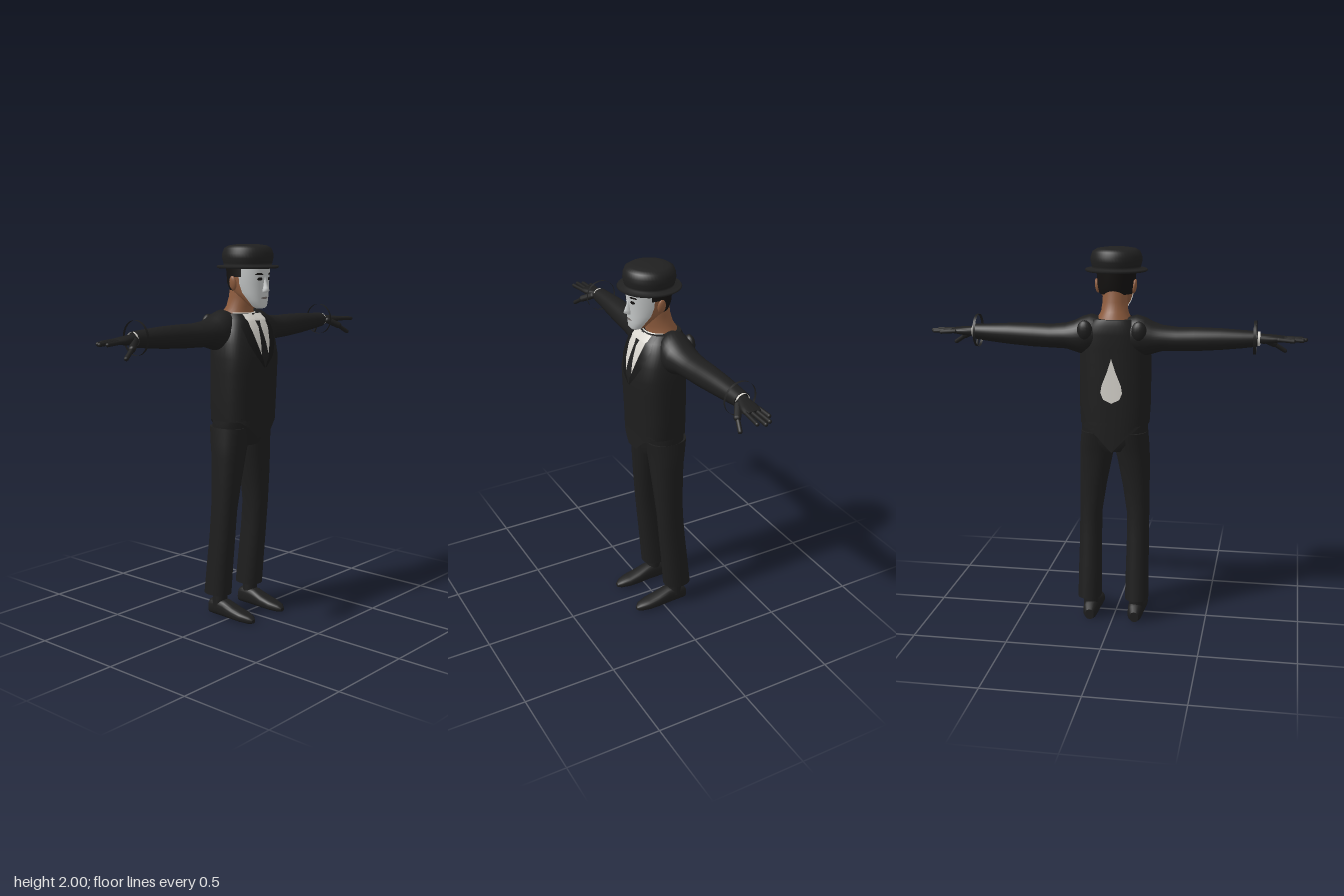
import * as THREE from 'three';

const mat = (name, color, side = THREE.FrontSide) => {
  const m = new THREE.MeshStandardMaterial({ color, side });
  m.name = name;
  return m;
};

// Skin over rings along an axis. Section: [pos, uMin, uMax, vMin, vMax];
// (u, v) is (z, x) for axis y, (y, z) for axis x and (x, y) for axis z.
function loft(axis, sections, { p = 2, seg = 32, arc = null, grow = 0 } = {}) {
  const pos = [], idx = [], cols = arc ? seg + 1 : seg;
  const place = { x: (w, u, v) => [w, u, v], y: (w, u, v) => [v, w, u], z: (w, u, v) => [u, v, w] }[axis];
  const bend = t => Math.sign(t) * Math.abs(t) ** (2 / p);
  const point = ([w, u0, u1, v0, v1], t) => place(w,
    (u0 + u1) / 2 + ((u1 - u0) / 2 + grow) * bend(Math.cos(t)),
    (v0 + v1) / 2 + ((v1 - v0) / 2 + grow) * bend(Math.sin(t)));
  const angle = j => arc ? arc[0] + (arc[1] - arc[0]) * j / seg : 2 * Math.PI * j / seg;
  const addRing = s => { for (let j = 0; j < cols; j++) pos.push(...point(s, angle(j))); };
  sections.forEach(addRing);
  for (let i = 0; i < sections.length - 1; i++) for (let j = 0; j < seg; j++) {
    const k = (j + 1) % cols, a = i * cols + j, b = i * cols + k;
    idx.push(a, b, b + cols, a, b + cols, a + cols);
  }
  // flat end caps with their own corners
  if (!arc) [sections[0], sections.at(-1)].forEach((s, end) => {
    const base = pos.length / 3;
    addRing(s);
    pos.push(...place(s[0], (s[1] + s[2]) / 2, (s[3] + s[4]) / 2));
    for (let j = 0; j < seg; j++) {
      const a = base + j, b = base + (j + 1) % seg;
      idx.push(base + seg, ...(end ? [a, b] : [b, a]));
    }
  });
  return finish(pos, idx);
}

function finish(pos, idx) {
  const g = new THREE.BufferGeometry();
  g.setAttribute('position', new THREE.Float32BufferAttribute(pos, 3));
  g.setIndex(idx);
  g.computeVertexNormals();
  return g;
}

// Thin sheet that follows the front (s = 1) or back (s = -1) of a y loft; rows are [y, x0, x1]
function patch(sections, p, rows, s, off) {
  const pos = [], idx = [], C = 10, R = 4, lerp = THREE.MathUtils.lerp;
  const surf = (x, y) => {
    let i = 0;
    while (i < sections.length - 2 && y > sections[i + 1][0]) i++;
    const a = sections[i], b = sections[i + 1];
    const t = THREE.MathUtils.clamp((y - a[0]) / (b[0] - a[0]), 0, 1);
    const [, z0, z1, , rx] = a.map((v, k) => lerp(v, b[k], t));
    const k = Math.max(0, 1 - Math.min(1, Math.abs(x / rx)) ** p) ** (1 / p);
    return (z0 + z1) / 2 + s * ((z1 - z0) / 2 * k + off);
  };
  const n = (rows.length - 1) * R;
  for (let i = 0; i <= n; i++) {
    const r = Math.min(Math.floor(i / R), rows.length - 2);
    const [y, x0, x1] = rows[r].map((v, k) => lerp(v, rows[r + 1][k], i / R - r));
    for (let j = 0; j <= C; j++) {
      const x = lerp(x0, x1, j / C);
      pos.push(x, y, surf(x, y));
      if (i < n && j < C) {
        const a = i * (C + 1) + j, d = a + C + 1;
        idx.push(...(s > 0 ? [a, d, d + 1, a, d + 1, a + 1] : [a, d + 1, d, a, a + 1, d + 1]));
      }
    }
  }
  return finish(pos, idx);
}

// Rounded rod between two points
function rod(a, b, r) {
  const A = new THREE.Vector3(...a), B = new THREE.Vector3(...b), d = B.clone().sub(A);
  const g = new THREE.CapsuleGeometry(r, d.length(), 5, 10);
  g.applyQuaternion(new THREE.Quaternion().setFromUnitVectors(new THREE.Vector3(0, 1, 0), d.normalize()));
  return g.translate(...A.add(B).multiplyScalar(0.5).toArray());
}

function flipX(g) {
  const m = g.clone().scale(-1, 1, 1), ix = m.index.array;
  for (let i = 0; i < ix.length; i += 3) [ix[i], ix[i + 1]] = [ix[i + 1], ix[i]];
  return m;
}

export function createModel() {
  const D = THREE.DoubleSide, root = new THREE.Group();
  const suit = mat('suitBlack', 0x1e1e1e, D), lapel = mat('lapelBlack', 0x171717, D);
  const hatM = mat('hatBlack', 0x202020, D), white = mat('shirtWhite', 0xd8d5ce, D);
  const maskM = mat('maskGrey', 0xc4c7c7, D), skin = mat('skinBrown', 0x8e5c3e);
  const hairM = mat('hairDark', 0x141211, D), lip = mat('lipGrey', 0x77706e, D);
  const add = (name, g, m) => {
    const mesh = new THREE.Mesh(g, m);
    mesh.name = name;
    root.add(mesh);
  };
  const pair = (name, g, m) => { add(name + 'Left', g, m); add(name + 'Right', flipX(g), m); };
  const sym = rows => rows.map(([y, z0, z1, r]) => [y, z0, z1, -r, r]);

  // Jacket body
  const torso = sym([
    [1.09, -0.155, 0.115, 0.18], [1.2, -0.155, 0.118, 0.186], [1.35, -0.155, 0.126, 0.186],
    [1.42, -0.155, 0.13, 0.186], [1.5, -0.156, 0.115, 0.182], [1.57, -0.158, 0.093, 0.165],
    [1.615, -0.155, 0.07, 0.14], [1.645, -0.145, 0.04, 0.11]]);
  const TP = 2.7;
  add('jacketBody', loft('y', torso, { p: TP, seg: 48 }), suit);
  const onTorso = (rows, s, off) => patch(torso, TP, rows, s, off);
  add('frontHem', onTorso([[1.11, -0.175, 0.175], [1.06, -0.1, 0.1], [1.0, -0.04, 0.04]], 1, 0.001), suit);
  add('backTail', onTorso([[1.11, -0.17, 0.17], [1.03, -0.075, 0.075], [0.95, 0, 0]], -1, 0.001), suit);

  // Shirt front, collar, tie and lapels
  add('shirtFront', onTorso([[1.64, -0.07, 0.07], [1.58, -0.075, 0.075], [1.5, -0.058, 0.058], [1.425, -0.03, 0.03]], 1, 0.003), white);
  add('tie', onTorso([[1.61, -0.018, 0.018], [1.58, -0.01, 0.01], [1.43, -0.028, 0.028], [1.39, -0.005, 0.005]], 1, 0.006), suit);
  pair('collarPoint', onTorso([[1.645, 0.01, 0.07], [1.62, 0.012, 0.075], [1.595, 0.045, 0.06]], 1, 0.008), white);
  pair('lapel', onTorso([[1.645, 0.068, 0.095], [1.58, 0.068, 0.118], [1.5, 0.05, 0.105], [1.43, 0.025, 0.065], [1.37, 0, 0.01]], 1, 0.006), lapel);
  add('collarBand', loft('y', sym([[1.61, -0.13, 0.068, 0.09], [1.65, -0.125, 0.035, 0.085]]), { arc: [-1.3, 1.3] }), white);
  add('backOpening', onTorso([[1.45, 0, 0], [1.38, -0.022, 0.022], [1.31, -0.05, 0.05], [1.27, -0.057, 0.057], [1.235, -0.042, 0.042], [1.215, 0, 0]], -1, 0.004), white);
  pair('shoulderFold', new THREE.SphereGeometry(0.04, 16, 10).scale(1, 1.3, 0.7).translate(0.14, 1.59, -0.14), suit);

  // Trousers
  add('hips', loft('y', [[0.95, -0.13, 0.055, -0.09, 0.09], [0.99, -0.145, 0.065, -0.16, 0.16],
    [1.04, -0.15, 0.075, -0.176, 0.176], [1.12, -0.15, 0.085, -0.172, 0.172]], { p: 2.4 }), suit);
  pair('trouserLeg', loft('y', [
    [0.125, -0.168, -0.015, 0.066, 0.192], [0.3, -0.148, 0, 0.068, 0.19], [0.45, -0.13, 0.015, 0.07, 0.187],
    [0.6, -0.117, 0.028, 0.068, 0.187], [0.75, -0.118, 0.042, 0.045, 0.187], [0.9, -0.125, 0.055, 0.015, 0.186],
    [0.96, -0.135, 0.06, 0, 0.184], [1.05, -0.148, 0.07, 0, 0.176]], { p: 2.3 }), suit);

  // Shoes
  pair('shoe', loft('z', [
    [-0.15, 0.1, 0.145, 0, 0.055], [-0.135, 0.085, 0.16, 0, 0.085], [-0.08, 0.08, 0.165, 0, 0.1],
    [-0.03, 0.08, 0.166, 0, 0.092], [0.03, 0.076, 0.169, 0, 0.07], [0.09, 0.078, 0.167, 0, 0.055],
    [0.14, 0.093, 0.152, 0, 0.042], [0.16, 0.11, 0.135, 0.005, 0.025]], { p: 2.6, seg: 24 }), suit);
  pair('ankle', new THREE.CylinderGeometry(0.035, 0.042, 0.16, 20).translate(0.125, 0.13, -0.08), suit);

  // Sleeves
  pair('sleeve', loft('x', [
    [0.06, 1.47, 1.65, -0.135, 0], [0.12, 1.46, 1.666, -0.155, 0.03], [0.165, 1.455, 1.652, -0.155, 0.035],
    [0.2, 1.466, 1.633, -0.15, 0.028], [0.25, 1.482, 1.616, -0.145, 0.014], [0.33, 1.485, 1.608, -0.14, 0.002],
    [0.42, 1.488, 1.61, -0.137, -0.004], [0.55, 1.498, 1.608, -0.13, -0.016], [0.66, 1.51, 1.602, -0.122, -0.026],
    [0.735, 1.52, 1.598, -0.116, -0.03]]), suit);

  // Loose ribbon cuffs and shirt cuffs
  const ribbon = new THREE.CylinderGeometry(0.085, 0.085, 0.014, 32, 1, true);
  ribbon.rotateZ(Math.PI / 2).translate(0.722, 1.565, -0.07);
  pair('ribbonCuff', ribbon, suit);
  pair('ribbonBand', rod([0.722, 1.49, -0.1], [0.722, 1.53, -0.08], 0.006), suit);
  pair('shirtCuff', new THREE.CylinderGeometry(0.036, 0.036, 0.012, 24, 1, true)
    .rotateZ(Math.PI / 2).translate(0.742, 1.56, -0.072), white);

  // Gloved hands
  pair('palm', loft('x', [
    [0.72, 1.535, 1.588, -0.1, -0.042], [0.77, 1.535, 1.583, -0.102, -0.028], [0.81, 1.538, 1.58, -0.104, -0.014],
    [0.85, 1.544, 1.575, -0.1, -0.008], [0.868, 1.55, 1.57, -0.095, -0.014]], { p: 2.4, seg: 20 }), suit);
  [[-0.095, -0.1, 0.915], [-0.072, -0.073, 0.96], [-0.045, -0.043, 0.975], [-0.02, -0.01, 0.955]].forEach(([z0, z1, x], i) =>
    pair('finger' + (i + 1), rod([0.84, 1.56, z0], [x, 1.555, z1], 0.0105), suit));
  pair('thumbBase', rod([0.76, 1.555, -0.035], [0.815, 1.525, 0.002], 0.018), suit);
  pair('thumb', rod([0.81, 1.527, 0], [0.872, 1.486, 0.022], 0.0115), suit);

  // Neck and head
  add('neck', loft('y', sym([[1.6, -0.145, 0.03, 0.1], [1.65, -0.135, 0.025, 0.085], [1.68, -0.115, 0.03, 0.07],
    [1.73, -0.1, 0.04, 0.064], [1.8, -0.09, 0.05, 0.064]])), skin);
  const head = sym([
    [1.675, 0.07, 0.112, 0.025], [1.685, 0.04, 0.12, 0.045], [1.72, 0, 0.121, 0.066], [1.755, -0.055, 0.122, 0.08],
    [1.8, -0.09, 0.124, 0.088], [1.85, -0.1, 0.128, 0.092], [1.9, -0.1, 0.128, 0.092]]);
  add('head', loft('y', head, { p: 2.2 }), skin);
  add('faceMask', loft('y', head, { p: 2.2, arc: [-1.45, 1.45], grow: 0.004 }), maskM);
  add('hair', loft('y', sym([[1.765, -0.075, 0.122, 0.08], [1.8, -0.09, 0.124, 0.088], [1.9, -0.1, 0.128, 0.092]]),
    { p: 2.2, arc: [1.85, 2 * Math.PI - 1.85], grow: 0.008 }), hairM);
  pair('sideburn', loft('y', sym([[1.835, -0.1, 0.128, 0.092], [1.9, -0.1, 0.128, 0.092]]),
    { p: 2.2, arc: [1.3, 1.9], grow: 0.008, seg: 8 }), hairM);
  pair('ear', new THREE.SphereGeometry(0.03, 16, 12).scale(0.4, 1.25, 0.75).rotateZ(-0.15).translate(0.097, 1.803, -0.005), skin);

  // Face details
  add('nose', loft('y', sym([[1.757, 0.11, 0.138, 0.014], [1.765, 0.11, 0.156, 0.018], [1.78, 0.11, 0.151, 0.013],
    [1.81, 0.11, 0.139, 0.008], [1.84, 0.11, 0.13, 0.007]]), { seg: 16 }), maskM);
  const onFace = (rows, off) => patch(head, 2.2, rows, 1, off);
  pair('eye', onFace([[1.834, 0.028, 0.042], [1.826, 0.02, 0.05], [1.818, 0.028, 0.044]], 0.006), hairM);
  pair('eyebrow', onFace([[1.856, 0.028, 0.052], [1.847, 0.018, 0.06]], 0.007), hairM);
  add('mouth', onFace([[1.734, -0.014, 0.014], [1.729, -0.027, 0.027], [1.723, -0.012, 0.012]], 0.006), lip);

  // Round hat with curled brim
  const profile = [[0, 1.882], [0.11, 1.88], [0.155, 1.878], [0.163, 1.884], [0.158, 1.891], [0.124, 1.893], [0.127, 1.905],
    [0.133, 1.93], [0.132, 1.955], [0.122, 1.98], [0.1, 1.993], [0.06, 1.999], [0, 2]];
  add('hat', new THREE.LatheGeometry(profile.map(q => new THREE.Vector2(...q)), 48).translate(0, 0, 0.012), hatM);
  return root;
}
